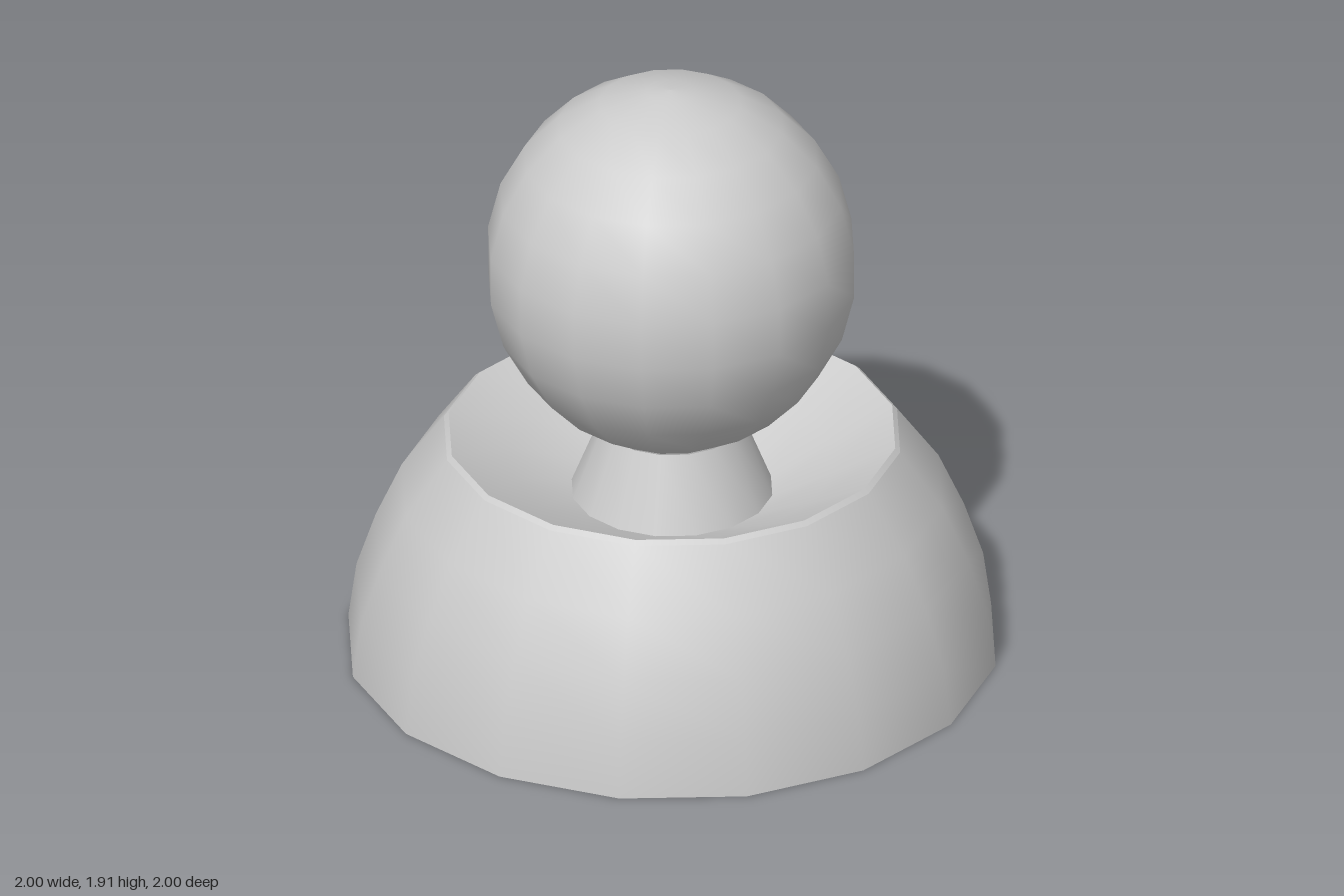
import * as THREE from 'three';

const SIDES = 16;
const material = new THREE.MeshStandardMaterial({ color: 0xcccccc, side: THREE.DoubleSide });

// Smooth surface of revolution from [radius, height] pairs
function turned(name, profile) {
  const points = profile.map(([r, y]) => new THREE.Vector2(r, y));
  const mesh = new THREE.Mesh(new THREE.LatheGeometry(points, SIDES), material);
  mesh.name = name;
  return mesh;
}

export function createModel() {
  const model = new THREE.Group();
  model.name = 'ballOnDome';

  // Hollow dome, open underneath
  model.add(turned('dome', [[1, 0], [0.975, 0.18], [0.915, 0.36], [0.835, 0.54], [0.705, 0.72]]));

  // Narrow bevelled lip
  model.add(turned('rim', [[0.705, 0.72], [0.69, 0.733]]));

  // Sunken dish inside the lip, running down to the stem
  model.add(turned('dish', [[0.69, 0.733], [0.5, 0.63], [0.31, 0.535]]));

  // Hollow tapered stem
  model.add(turned('stem', [[0.31, 0.535], [0.218, 0.768]]));

  // Slightly tall ball, cut off where it meets the stem, leaning back a touch
  const ballProfile = [];
  for (let i = 0; i <= 11; i++) {
    const a = i === 11 ? Math.PI : THREE.MathUtils.degToRad(22.5 + i * 15);
    ballProfile.push([i === 11 ? 0 : 0.57 * Math.sin(a), 0.55 - 0.595 * Math.cos(a)]);
  }
  const ball = turned('ball', ballProfile);
  ball.position.y = 0.768;
  ball.rotation.x = -0.02;
  model.add(ball);

  return model;
}
